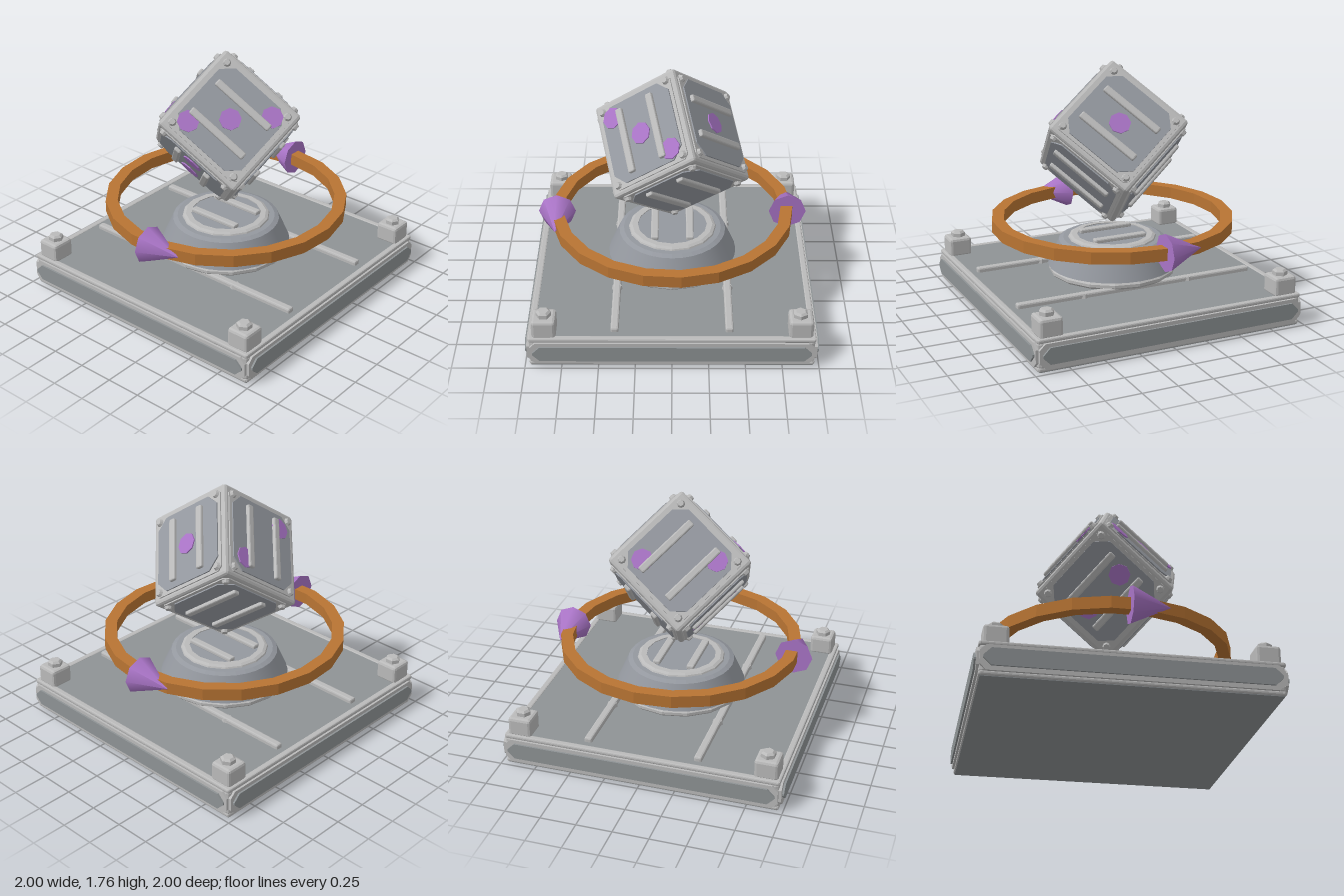
import * as THREE from 'three';
import { RoundedBoxGeometry } from 'three/addons/geometries/RoundedBoxGeometry.js';

const mat = (name, color) => Object.assign(new THREE.MeshStandardMaterial({ color }), { name });

export function createModel() {
  const trim = mat('light grey trim', 0xbababa);
  const plate = mat('base grey', 0x8e9395);
  const panelGrey = mat('blue grey panel', 0x94989f);
  const purple = mat('purple', 0xa974c6);
  const orange = mat('orange', 0xb87433);

  const model = new THREE.Group();
  model.name = 'cubeOnPedestal';

  const addSmooth = (parent, name, geo, material, x = 0, y = 0, z = 0) => {
    const m = new THREE.Mesh(geo, material);
    m.name = name;
    m.position.set(x, y, z);
    parent.add(m);
    return m;
  };
  // Faceted normals for a crisp low-poly look
  const add = (parent, name, geo, ...rest) => {
    const f = geo.index ? geo.toNonIndexed() : geo;
    f.computeVertexNormals();
    return addSmooth(parent, name, f, ...rest);
  };
  const chamferBox = (w, h, d, r) => new RoundedBoxGeometry(w, h, d, 1, r);
  // Flat panel with cut corners, lying in xy and facing +z
  const cutPanel = (w, h, c, depth) => {
    const s = new THREE.Shape();
    const a = w / 2, b = h / 2;
    [[a - c, -b], [a, c - b], [a, b - c], [a - c, b], [c - a, b], [-a, b - c], [-a, c - b], [c - a, -b]]
      .forEach(([x, y], i) => (i ? s.lineTo(x, y) : s.moveTo(x, y)));
    return new THREE.ExtrudeGeometry(s, { depth, bevelEnabled: false });
  };
  const ringOf = (points, sides) =>
    new THREE.LatheGeometry(points.map(([r, y]) => new THREE.Vector2(r, y)), sides);

  // Square base: slab, rails, and grey panels
  const base = new THREE.Group();
  base.name = 'base';
  model.add(base);
  add(base, 'baseSlab', chamferBox(1.94, 0.2, 1.94, 0.025), trim, 0, 0.115, 0);
  add(base, 'topPlate', new THREE.BoxGeometry(1.87, 0.012, 1.87), plate, 0, 0.219, 0);
  add(base, 'bottomPlate', new THREE.BoxGeometry(1.92, 0.02, 1.92), plate, 0, 0.01, 0);
  for (let i = 0; i < 4; i++) {
    const side = new THREE.Group();
    side.name = 'baseSide';
    side.rotation.y = i * Math.PI / 2;
    base.add(side);
    add(side, 'sideFrame', cutPanel(1.93, 0.17, 0.04, 0.02), trim, 0, 0.116, 0.965);
    add(side, 'sidePanel', cutPanel(1.89, 0.115, 0.05, 0.015), plate, 0, 0.118, 0.983);
    add(side, 'topRail', chamferBox(1.94, 0.03, 0.045, 0.01), trim, 0, 0.215, 0.952);
    add(side, 'bottomRail', chamferBox(1.93, 0.03, 0.03, 0.01), trim, 0, 0.02, 0.955);
    // Corner block with hexagonal bolt
    add(side, 'cornerBlock', chamferBox(0.165, 0.14, 0.165, 0.02), trim, 0.872, 0.283, 0.867);
    add(side, 'boltHead', new THREE.CylinderGeometry(0.053, 0.053, 0.03, 6), trim, 0.867, 0.365, 0.867);
    add(side, 'boltTop', new THREE.CylinderGeometry(0.036, 0.053, 0.013, 6), trim, 0.867, 0.3865, 0.867);
  }
  // Long strips across the top, with round studs
  for (const x of [-0.39, 0.39]) {
    add(base, 'topStrip', chamferBox(0.055, 0.045, 1.78, 0.012), trim, x, 0.235, 0);
    for (const z of [-0.4, 0.4])
      add(base, 'stripStud', new THREE.CylinderGeometry(0.032, 0.04, 0.035, 8), trim, x, 0.235, z);
  }

  // Round pedestal
  const pedestal = new THREE.Group();
  pedestal.name = 'pedestal';
  model.add(pedestal);
  add(pedestal, 'footRing', ringOf([[0.38, 0.22], [0.38, 0.243], [0.44, 0.243], [0.455, 0.258],
    [0.455, 0.278], [0.44, 0.293], [0.4, 0.293]], 16), trim);
  addSmooth(pedestal, 'pedestalBody', ringOf([[0.46, 0.298], [0.382, 0.475]], 32), panelGrey);
  add(pedestal, 'bodyUnderside', ringOf([[0.4, 0.285], [0.46, 0.298]], 32), panelGrey);
  add(pedestal, 'bodyShoulder', ringOf([[0.382, 0.475], [0.35, 0.49], [0, 0.49]], 32), panelGrey);
  add(pedestal, 'rimRing', ringOf([[0.32, 0.48], [0.31, 0.5], [0.29, 0.51], [0.25, 0.51], [0.25, 0.48]], 16), trim);
  add(pedestal, 'topDisc', new THREE.CylinderGeometry(0.25, 0.25, 0.02, 16), panelGrey, 0, 0.494, 0);
  for (const x of [-0.125, 0.125])
    add(pedestal, 'discStrip', chamferBox(0.055, 0.035, 0.4, 0.01), trim, x, 0.514, 0);

  // Faceted hoop with two arrowheads showing the turning direction
  const hoop = add(model, 'hoop', ringOf([[0.775, 0.577], [0.86, 0.577], [0.86, 0.662], [0.775, 0.662], [0.775, 0.577]], 21), orange);
  hoop.rotation.y = Math.PI / 2;
  for (const s of [-1, 1]) {
    const cone = new THREE.ConeGeometry(0.133, 0.27, 8).rotateX(-s * Math.PI / 2);
    addSmooth(model, 'arrowhead', cone, purple, s * 0.825, 0.62, -s * 0.135);
  }

  // Cube balanced on a corner: its three upward axes are spread evenly round y
  const axes = [75, 195, 315].map((deg) => {
    const t = deg * Math.PI / 180, k = Math.sqrt(2 / 3);
    return new THREE.Vector3(k * Math.sin(t), Math.sqrt(1 / 3), k * Math.cos(t));
  });
  const cube = new THREE.Group();
  cube.name = 'cube';
  cube.quaternion.setFromRotationMatrix(new THREE.Matrix4().makeBasis(...axes));
  cube.position.y = 1.18;
  model.add(cube);
  add(cube, 'cubeFrame', chamferBox(0.69, 0.69, 0.69, 0.022), trim);

  // Each face: outward normal, axis across the bars, and dot places
  const X = new THREE.Vector3(1, 0, 0), Y = new THREE.Vector3(0, 1, 0), Z = new THREE.Vector3(0, 0, 1);
  const faces = [
    [X, Y, [[0, 0]]],
    [X.clone().negate(), Y, [[0, 0.16], [0, -0.16]]],
    [Y, X, [[0.177, 0.177], [-0.177, -0.177]]],
    [Y.clone().negate(), X, []],
    [Z, X, [[0.2, -0.2], [0, 0], [-0.2, 0.2]]],
    [Z.clone().negate(), X, []],
  ];
  for (const [n, u, dots] of faces) {
    const face = new THREE.Group();
    face.name = 'cubeFace';
    face.quaternion.setFromRotationMatrix(new THREE.Matrix4().makeBasis(u, n.clone().cross(u), n));
    cube.add(face);
    add(face, 'faceRim', cutPanel(0.62, 0.62, 0.03, 0.02), trim, 0, 0, 0.334);
    add(face, 'facePanel', cutPanel(0.57, 0.57, 0.08, 0.03), panelGrey, 0, 0, 0.333);
    for (const s of [-1, 1]) {
      add(face, 'faceBar', chamferBox(0.052, 0.475, 0.04, 0.01), trim, s * 0.13, 0, 0.368);
      for (const t of [-1, 1]) {
        const bolt = new THREE.CylinderGeometry(0.02, 0.03, 0.022, 8).rotateX(Math.PI / 2);
        add(face, 'cornerBolt', bolt, trim, s * 0.275, t * 0.275, 0.363);
      }
    }
    for (const [x, y] of dots) {
      const dot = new THREE.CylinderGeometry(0.076, 0.076, 0.009, 8).rotateX(Math.PI / 2);
      add(face, 'dot', dot, purple, x, y, 0.367);
    }
  }
  return model;
}
